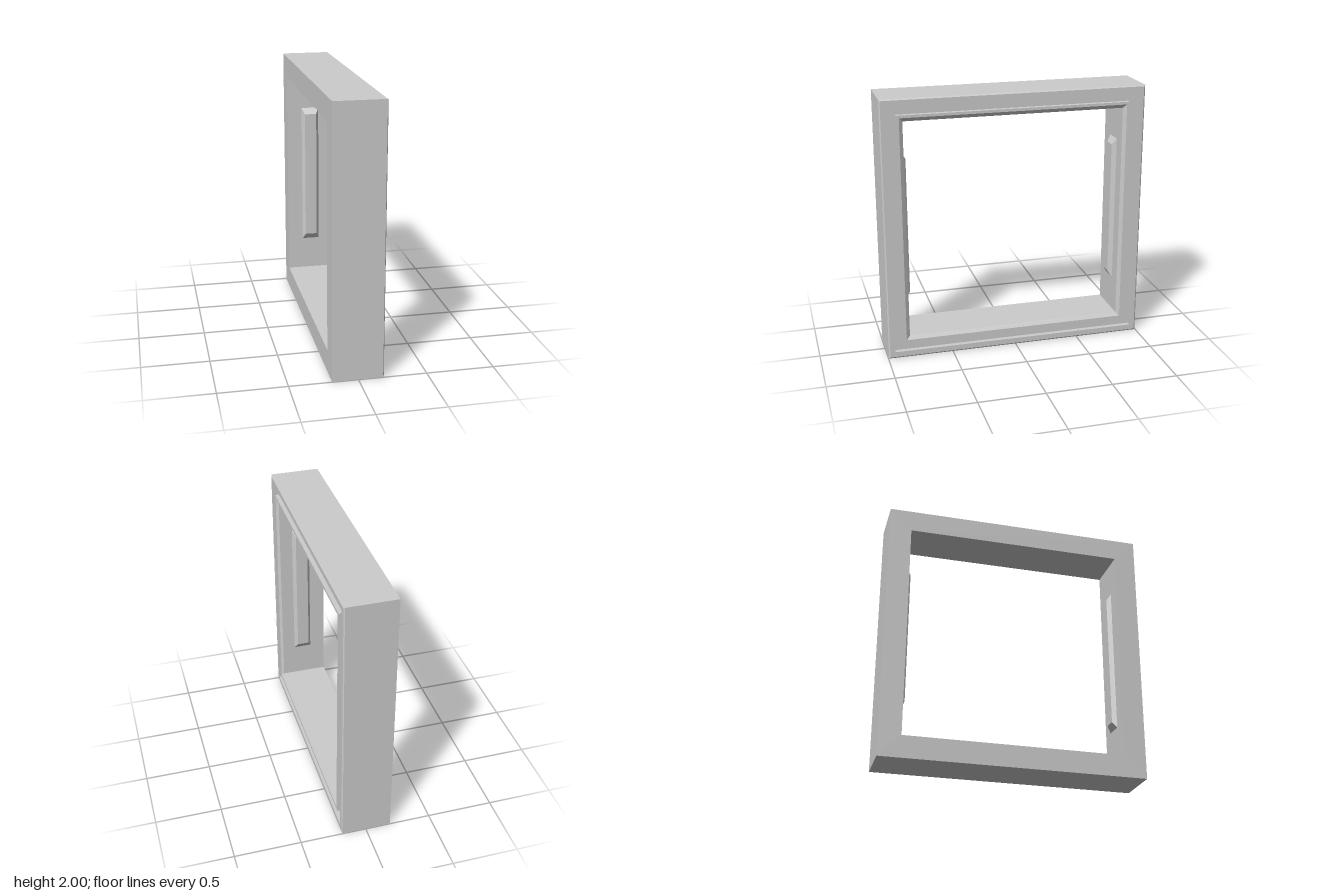
import * as THREE from 'three';

const material = new THREE.MeshStandardMaterial({ color: 0xcccccc, flatShading: true });

// Skin a list of four-cornered rings; corners run counter-clockwise seen from the skin's far end.
function skinRings(rings, closed, cap) {
  const pos = [];
  const quad = (a, b, c, d) => pos.push(...a, ...b, ...c, ...a, ...c, ...d);
  const count = closed ? rings.length : rings.length - 1;
  for (let i = 0; i < count; i++) {
    const a = rings[i], b = rings[(i + 1) % rings.length];
    for (let j = 0; j < 4; j++) {
      const k = (j + 1) % 4;
      quad(a[j], a[k], b[k], b[j]);
    }
  }
  if (cap) quad(...rings[rings.length - 1]);
  const geometry = new THREE.BufferGeometry();
  geometry.setAttribute('position', new THREE.Float32BufferAttribute(pos, 3));
  geometry.computeVertexNormals();
  return geometry;
}

function addMesh(group, name, geometry) {
  const mesh = new THREE.Mesh(geometry, material);
  mesh.name = name;
  group.add(mesh);
  return mesh;
}

export function createModel() {
  const group = new THREE.Group();
  group.name = 'squareFrame';

  // Frame section as [inset from outer edge, x]: rim, groove, chamfered inner lip
  const section = [
    [0, -0.19], [0, 0.18], [0.01, 0.187], [0.05, 0.187], [0.05, 0.15],
    [0.12, 0.15], [0.12, 0.187], [0.14, 0.187], [0.167, 0.17], [0.167, -0.19],
  ];
  const frameRings = section.map(([inset, x]) => {
    const h = 1 - inset, w = 0.996 - inset;
    return [[x, 1 - h, w], [x, 1 - h, -w], [x, 1 + h, -w], [x, 1 + h, w]];
  });
  addMesh(group, 'frame', skinRings(frameRings, true, false));

  // Bevelled upright ridge on each inner side wall
  const ridgeRing = (halfX, halfY, z) => [
    [-halfX, -halfY, z], [halfX, -halfY, z], [halfX, halfY, z], [-halfX, halfY, z],
  ];
  const ridge = skinRings([ridgeRing(0.07, 0.57, 0), ridgeRing(0.047, 0.522, 0.032)], false, true);
  for (const side of [1, -1]) {
    const mesh = addMesh(group, side > 0 ? 'frontRidge' : 'backRidge', ridge);
    mesh.position.set(0, 1, side * 0.829);
    if (side > 0) mesh.rotation.y = Math.PI;
  }
  return group;
}
